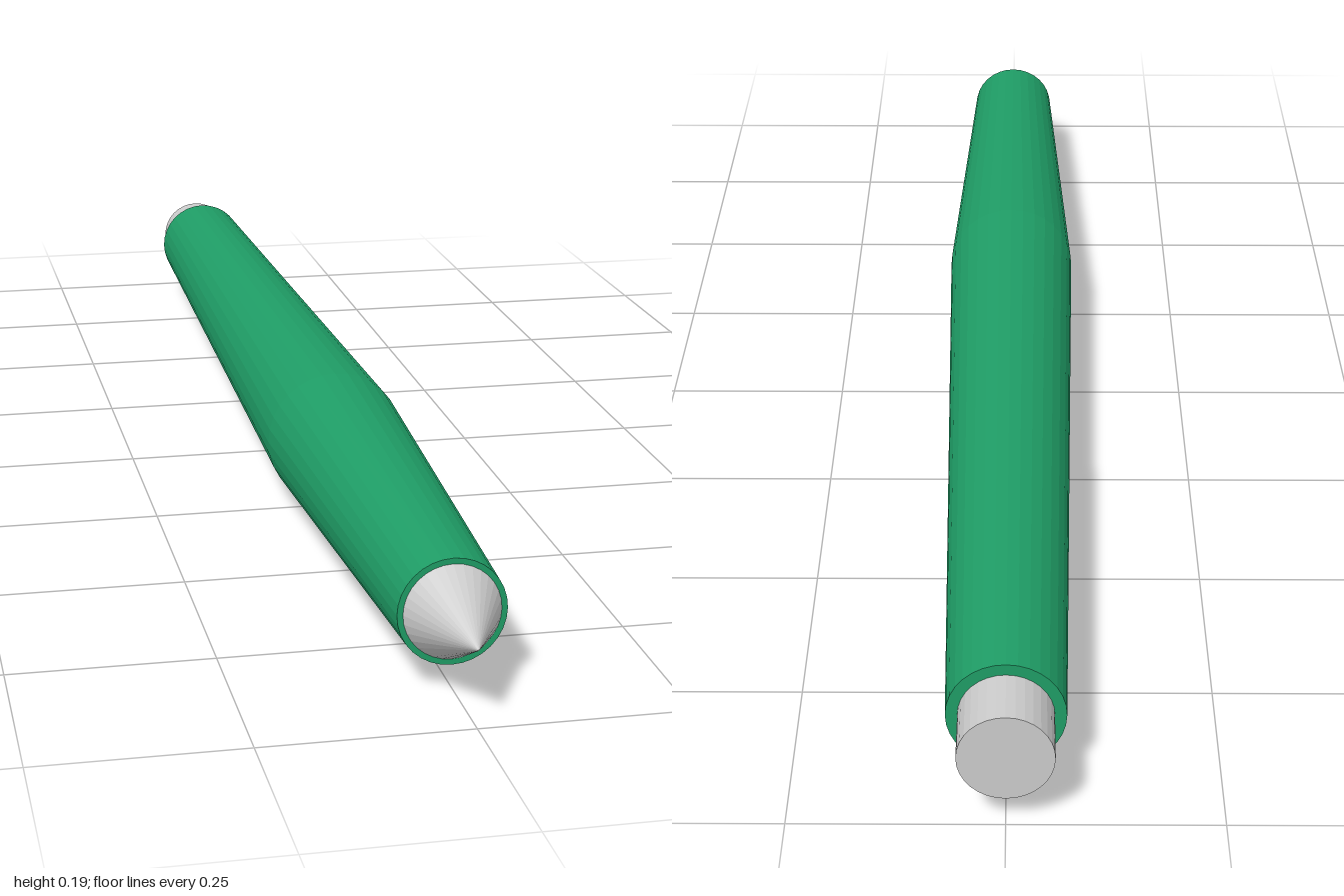
import * as THREE from 'three';

const SEGMENTS = 32;
const AXIS_HEIGHT = 0.093;

// Closed solid turned around the z axis from [radius, z] points, back to front
function turned(name, profile, color) {
  const points = profile.map(([r, z]) => new THREE.Vector2(r, z));
  const geometry = new THREE.LatheGeometry(points, SEGMENTS);
  geometry.rotateX(Math.PI / 2);
  const material = new THREE.MeshStandardMaterial({ color, flatShading: true });
  const mesh = new THREE.Mesh(geometry, material);
  mesh.name = name;
  mesh.position.y = AXIS_HEIGHT;
  return mesh;
}

export function createModel() {
  const group = new THREE.Group();
  group.name = 'pen';

  // Barrel swells to its widest point ahead of the middle
  group.add(turned('barrel', [
    [0, -0.92], [0.07, -0.92], [0.093, 0.24], [0.065, 0.885], [0, 0.885],
  ], 0x1f9d66));

  // Pointed writing tip
  group.add(turned('tip', [[0, 0.88], [0.058, 0.88], [0.058, 0.885], [0, 1]], 0xcccccc));

  // Push button at the back end
  group.add(turned('pushButton', [
    [0, -1], [0.056, -1], [0.056, -0.91], [0, -0.91],
  ], 0xcccccc));

  return group;
}
